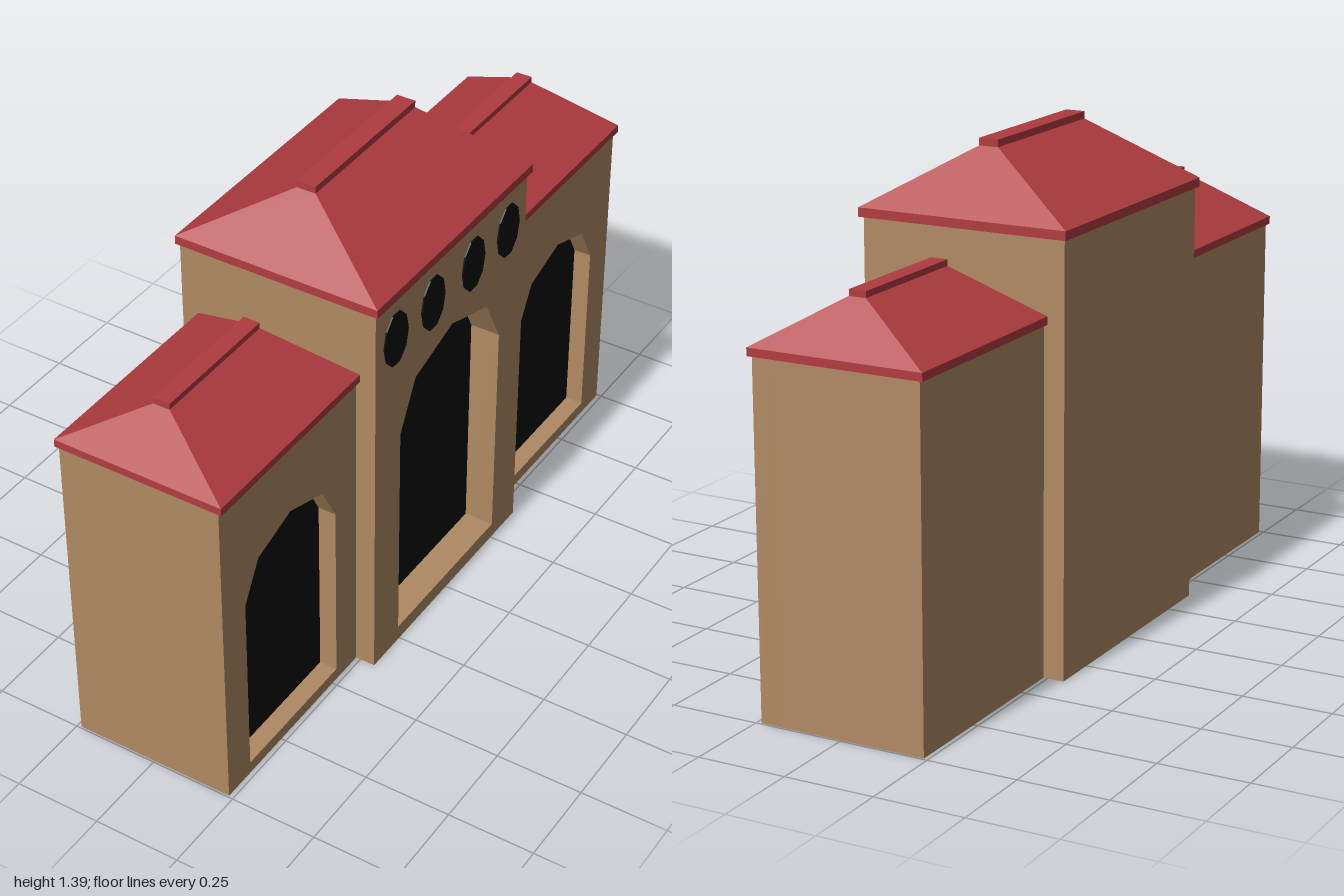
import * as THREE from 'three';

const material = (color) => new THREE.MeshStandardMaterial({ color, flatShading: true });
const wall = material(0xb08a64);
const red = material(0xb03c40);
const black = material(0x0c0c0c);

function add(group, name, geometry, mat, x = 0, y = 0, z = 0) {
  const mesh = new THREE.Mesh(geometry, mat);
  mesh.name = name;
  mesh.position.set(x, y, z);
  group.add(mesh);
  return mesh;
}

// Closed arch outline with a faceted pointed head
function archPoints({ half, sill, spring, shoulder, shoulderY, top }) {
  return [[-half, sill], [half, sill], [half, spring], [shoulder, shoulderY],
    [0, top], [-shoulder, shoulderY], [-half, spring]].map(([x, y]) => new THREE.Vector2(x, y));
}

// Box whose top face is shrunk to a narrow ridge
function hipGeometry(width, height, length, ridgeWidth, ridgeLength) {
  const geometry = new THREE.BoxGeometry(width, height, length);
  const p = geometry.attributes.position;
  for (let i = 0; i < p.count; i++) {
    if (p.getY(i) > 0) {
      p.setX(i, Math.sign(p.getX(i)) * ridgeWidth / 2);
      p.setZ(i, Math.sign(p.getZ(i)) * ridgeLength / 2);
    }
  }
  geometry.computeVertexNormals();
  return geometry;
}

function buildBlock(name, s) {
  const group = new THREE.Group();
  group.name = name;

  // Solid rear part, with a pierced front panel leaving the arch recessed
  const back = s.faceX - s.recess;
  add(group, 'walls', new THREE.BoxGeometry(back - s.backX, s.height, s.length), wall,
    (back + s.backX) / 2, s.height / 2, 0);
  const h = s.length / 2;
  const panel = new THREE.Shape([[-h, 0], [h, 0], [h, s.height], [-h, s.height]]
    .map(([x, y]) => new THREE.Vector2(x, y)));
  panel.holes.push(new THREE.Path(archPoints(s.arch)));
  add(group, 'archedWall', new THREE.ExtrudeGeometry(panel, { depth: s.recess, bevelEnabled: false }),
    wall, back).rotation.y = Math.PI / 2;
  add(group, 'archOpening', new THREE.ShapeGeometry(new THREE.Shape(archPoints(s.arch))),
    black, back + 0.003).rotation.y = Math.PI / 2;

  // Eave slab, hipped roof and ridge cap
  const r = s.roof;
  const eaveTop = s.height + r.eave;
  const peak = eaveTop + r.rise;
  add(group, 'eave', new THREE.BoxGeometry(r.width, r.eave, r.length), red, 0, s.height + r.eave / 2, r.z);
  add(group, 'hippedRoof', hipGeometry(r.width, r.rise, r.length, r.ridgeWidth, r.ridgeLength),
    red, 0, eaveTop + r.rise / 2, r.z);
  add(group, 'ridgeCap', new THREE.BoxGeometry(r.ridgeWidth, r.cap, r.ridgeLength),
    red, 0, peak + r.cap / 2, r.z);
  return group;
}

export function createModel() {
  const model = new THREE.Group();
  model.name = 'archedHall';

  // Tall central block
  const centre = buildBlock('centralBlock', {
    backX: -0.297, faceX: 0.294, height: 1.18, length: 0.76, recess: 0.09,
    arch: { half: 0.256, sill: 0.045, spring: 0.72, shoulder: 0.183, shoulderY: 0.86, top: 0.918 },
    roof: { width: 0.61, length: 0.78, z: 0, eave: 0.025, rise: 0.163, cap: 0.02,
      ridgeWidth: 0.056, ridgeLength: 0.48 },
  });
  model.add(centre);

  // Row of oval windows above the main arch
  for (const z of [0.285, 0.103, -0.101, -0.283]) {
    const oval = new THREE.CylinderGeometry(1, 1, 1, 10).rotateZ(Math.PI / 2).scale(0.008, 0.083, 0.058);
    add(centre, 'ovalWindow', oval, black, 0.294, 1.05, z);
  }

  // Lower wings at either end
  for (const side of [1, -1]) {
    const wing = buildBlock(side > 0 ? 'frontWing' : 'backWing', {
      backX: -0.238, faceX: 0.236, height: 0.955, length: 0.615, recess: 0.055,
      arch: { half: 0.208, sill: 0.036, spring: 0.582, shoulder: 0.146, shoulderY: 0.695, top: 0.742 },
      roof: { width: 0.496, length: 0.62, z: side * 0.0025, eave: 0.022, rise: 0.13, cap: 0.017,
        ridgeWidth: 0.048, ridgeLength: 0.39 },
    });
    wing.position.z = side * 0.6875;
    model.add(wing);
  }
  return model;
}
